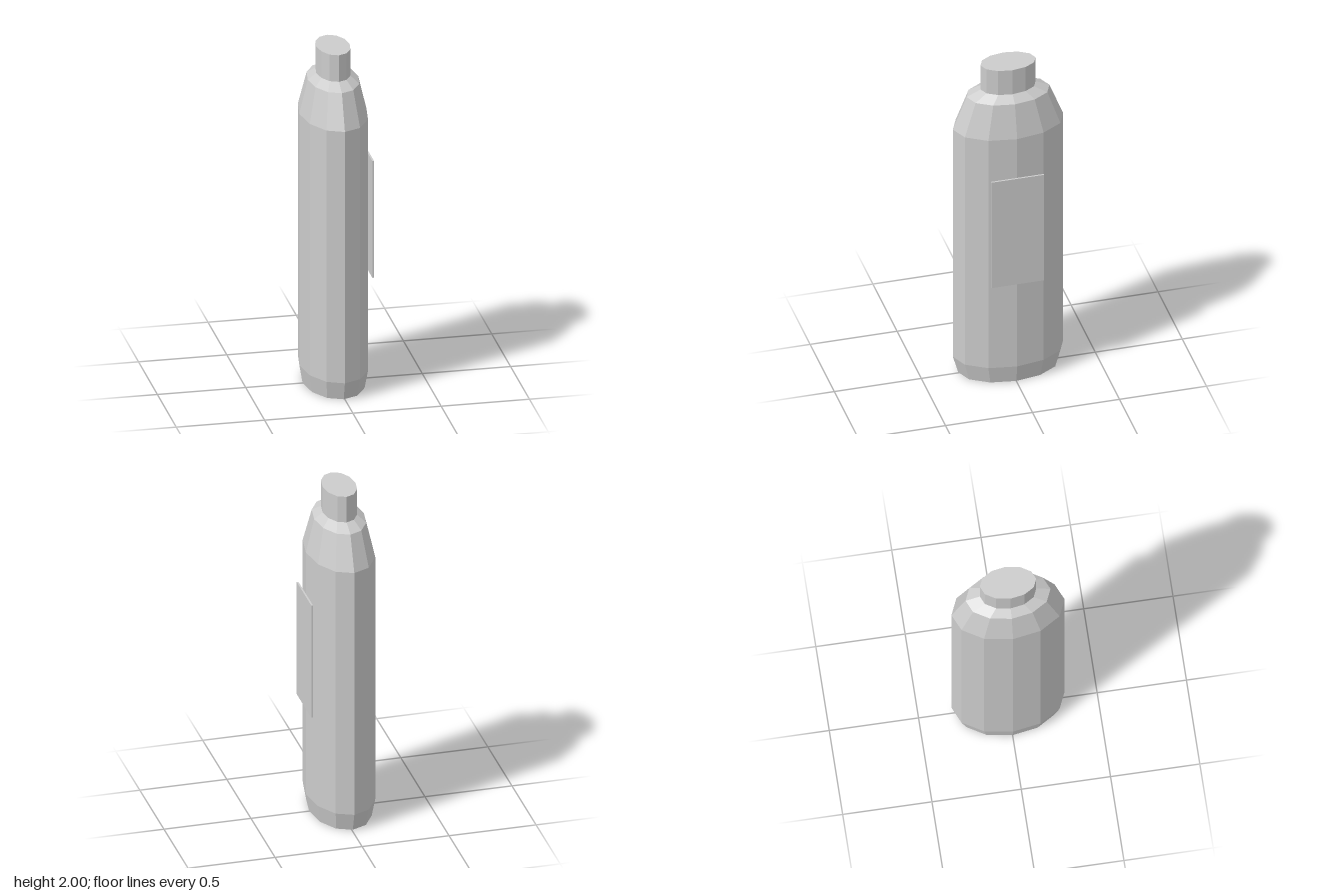
import * as THREE from 'three';

const SIDES = 12;
const FLATTEN = 0.6; // width of the oval relative to its depth
const CENTRE_X = -0.006;

export function createModel() {
  const group = new THREE.Group();
  const material = new THREE.MeshStandardMaterial({ color: 0xcccccc, flatShading: true });

  function add(name, geometry, x, y) {
    const mesh = new THREE.Mesh(geometry, material);
    mesh.name = name;
    mesh.position.set(x, y, 0);
    group.add(mesh);
  }

  // Oval bottle body: chamfered base, straight wall, tapered shoulder
  const profile = [
    [0, 0], [0.286, 0], [0.317, 0.107], [0.317, 1.605],
    [0.238, 1.805], [0.158, 1.842], [0, 1.842],
  ].map(([r, y]) => new THREE.Vector2(r, y));
  add('body', new THREE.LatheGeometry(profile, SIDES).scale(FLATTEN, 1, 1), CENTRE_X, 0);

  // Oval cap on top of the shoulder
  const cap = new THREE.CylinderGeometry(0.158, 0.158, 0.158, SIDES).scale(FLATTEN, 1, 1);
  add('cap', cap, CENTRE_X, 1.921);

  // Thin flat label plate on the left side
  add('label', new THREE.BoxGeometry(0.01, 0.695, 0.303), 0.19, 1.003);

  return group;
}
